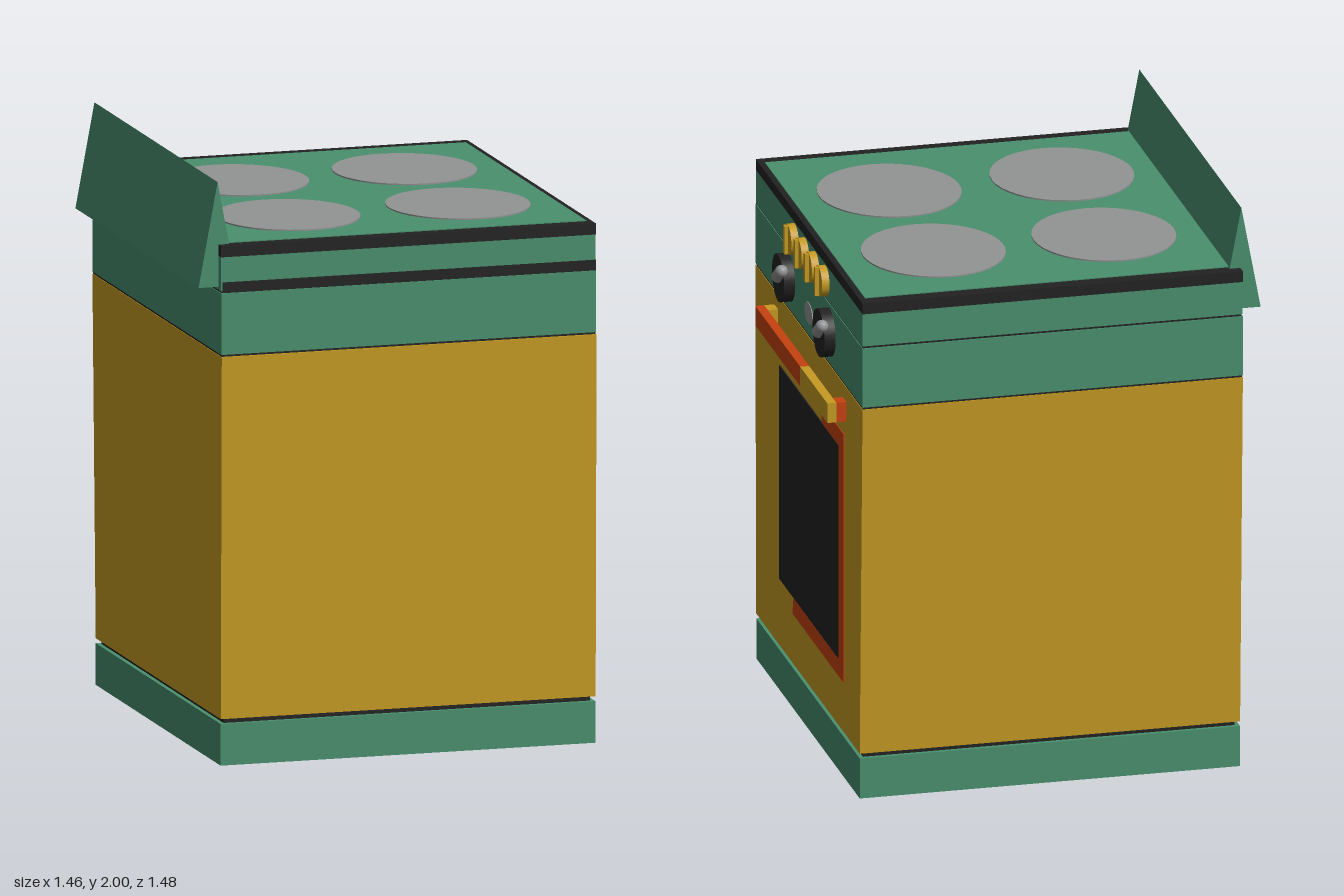
import * as THREE from 'three';

const mat = (name, color, side = THREE.FrontSide) => {
  const m = new THREE.MeshStandardMaterial({ color, side });
  m.name = name;
  return m;
};

export function createModel() {
  const root = new THREE.Group();
  root.name = 'cooker';
  const green = mat('green enamel', 0x4a906f);
  const gold = mat('ochre enamel', 0xc69a22);
  const dark = mat('black', 0x222222);
  const grey = mat('grey metal', 0x929394);
  const orange = mat('orange', 0xc8420f);

  const add = (name, geo, material, parent = root) => {
    const m = new THREE.Mesh(geo, material);
    m.name = name;
    parent.add(m);
    return m;
  };
  // Box given by its limits on each axis
  const box = (name, material, [x0, x1], [y0, y1], [z0, z1], parent) => {
    const g = new THREE.BoxGeometry(x1 - x0, y1 - y0, z1 - z0);
    g.translate((x0 + x1) / 2, (y0 + y1) / 2, (z0 + z1) / 2);
    return add(name, g, material, parent);
  };
  // Disc whose axis points along x, out of the control panel
  const disc = (name, material, r, x0, x1, parent, seg = 32) => {
    const g = new THREE.CylinderGeometry(r, r, x1 - x0, seg);
    g.rotateZ(-Math.PI / 2).translate((x0 + x1) / 2, 0, 0);
    return add(name, g, material, parent);
  };

  // Plinth and shadow gap
  box('plinth', green, [-0.66, 0.66], [0, 0.143], [-0.70, 0.73]);
  box('plinthGap', dark, [-0.645, 0.645], [0.143, 0.162], [-0.685, 0.715]);

  // Oven body, slightly wider at the top
  const bodyGeo = new THREE.BoxGeometry(1.32, 1.245, 1);
  bodyGeo.translate(0, 0.7825, 0);
  const p = bodyGeo.attributes.position;
  for (let i = 0; i < p.count; i++) {
    const top = p.getY(i) > 0.8;
    p.setZ(i, p.getZ(i) > 0 ? (top ? 0.743 : 0.732) : (top ? -0.738 : -0.70));
  }
  bodyGeo.computeVertexNormals();
  add('ovenBody', bodyGeo, gold);

  // Control band, hob slab and the thin seams between them
  box('bodySeam', dark, [-0.658, 0.658], [1.405, 1.412], [-0.735, 0.735]);
  box('controlBand', green, [-0.66, 0.66], [1.412, 1.623], [-0.738, 0.738]);
  box('hobSeam', dark, [-0.657, 0.657], [1.623, 1.63], [-0.733, 0.731]);
  box('hobSlab', green, [-0.66, 0.66], [1.63, 1.747], [-0.735, 0.733]);
  box('sideStrip', dark, [-0.655, 0.66], [1.624, 1.66], [0.73, 0.737]);
  box('hobRim', dark, [-0.66, 0.66], [1.747, 1.785], [-0.74, 0.736]);
  box('hobTop', green, [-0.65, 0.64], [1.78, 1.788], [-0.69, 0.69]);

  // Hot plates, slightly oval
  for (const [x, z] of [[-0.29, -0.29], [0.305, -0.303], [-0.298, 0.322], [0.305, 0.308]]) {
    const g = new THREE.CylinderGeometry(1, 1, 0.006, 40);
    const plate = add('hotPlate', g, grey);
    plate.scale.set(0.243, 1, 0.263);
    plate.position.set(x, 1.79, z);
  }

  // Wedge-shaped splashback along the wall edge
  const wedge = new THREE.Shape([[-0.73, 1.64], [-0.595, 1.64], [-0.663, 2]]
    .map(([x, y]) => new THREE.Vector2(x, y)));
  const wedgeGeo = new THREE.ExtrudeGeometry(wedge, { depth: 1.41, bevelEnabled: false });
  wedgeGeo.translate(0, 0, -0.705);
  add('splashback', wedgeGeo, green);

  // Row of small hob knobs with grip bars
  for (const z of [0.195, 0.052, -0.09, -0.23]) {
    const knob = new THREE.Group();
    knob.name = 'hobKnob';
    knob.position.set(0, 1.69, z);
    root.add(knob);
    disc('knobDisc', gold, 0.053, 0.655, 0.686, knob);
    box('knobGrip', gold, [0.68, 0.699], [-0.05, 0.05], [-0.009, 0.009], knob);
  }

  // Large oven knobs with slanted pointers
  for (const z of [0.275, -0.285]) {
    const knob = new THREE.Group();
    knob.name = 'ovenKnob';
    knob.position.set(0, 1.525, z);
    root.add(knob);
    disc('knobDisc', dark, 0.083, 0.655, 0.699, knob);
    const pointer = add('knobPointer', new THREE.CapsuleGeometry(0.022, 0.06, 6, 14), grey, knob);
    pointer.position.set(0.703, 0.028, -0.038);
    pointer.rotation.x = -0.93;
  }

  // Oval indicator plates
  for (const z of [0.122, -0.002, -0.13]) {
    const oval = disc('indicator', grey, 1, 0.658, 0.663, root);
    oval.scale.set(1, 0.037, 0.055);
    oval.position.y = 1.492;
  }

  // Door handle: two-coloured bar on two brackets
  const hy = [1.285, 1.355];
  box('handleBarNear', orange, [0.695, 0.726], hy, [-0.14, 0.48]);
  box('handleBarFar', gold, [0.695, 0.726], hy, [-0.515, -0.14]);
  box('handleBracketNear', gold, [0.655, 0.695], hy, [0.43, 0.48]);
  box('handleBracketFar', orange, [0.655, 0.695], hy, [-0.515, -0.465]);

  // Oven window with the visible corner of its frame
  const frame = new THREE.Shape([
    [0.17, 1.23], [0.49, 1.23], [0.49, 0.34], [-0.22, 0.34],
    [-0.205, 0.40], [0.42, 0.40], [0.42, 1.165], [0.19, 1.165],
  ].map(([u, y]) => new THREE.Vector2(u, y)));
  const frameGeo = new THREE.ExtrudeGeometry(frame, { depth: 0.004, bevelEnabled: false });
  frameGeo.rotateY(Math.PI / 2).translate(0.659, 0, 0);
  add('windowFrame', frameGeo, orange);
  box('ovenWindow', dark, [0.657, 0.664], [0.402, 1.165], [-0.42, 0.40]);

  return root;
}
